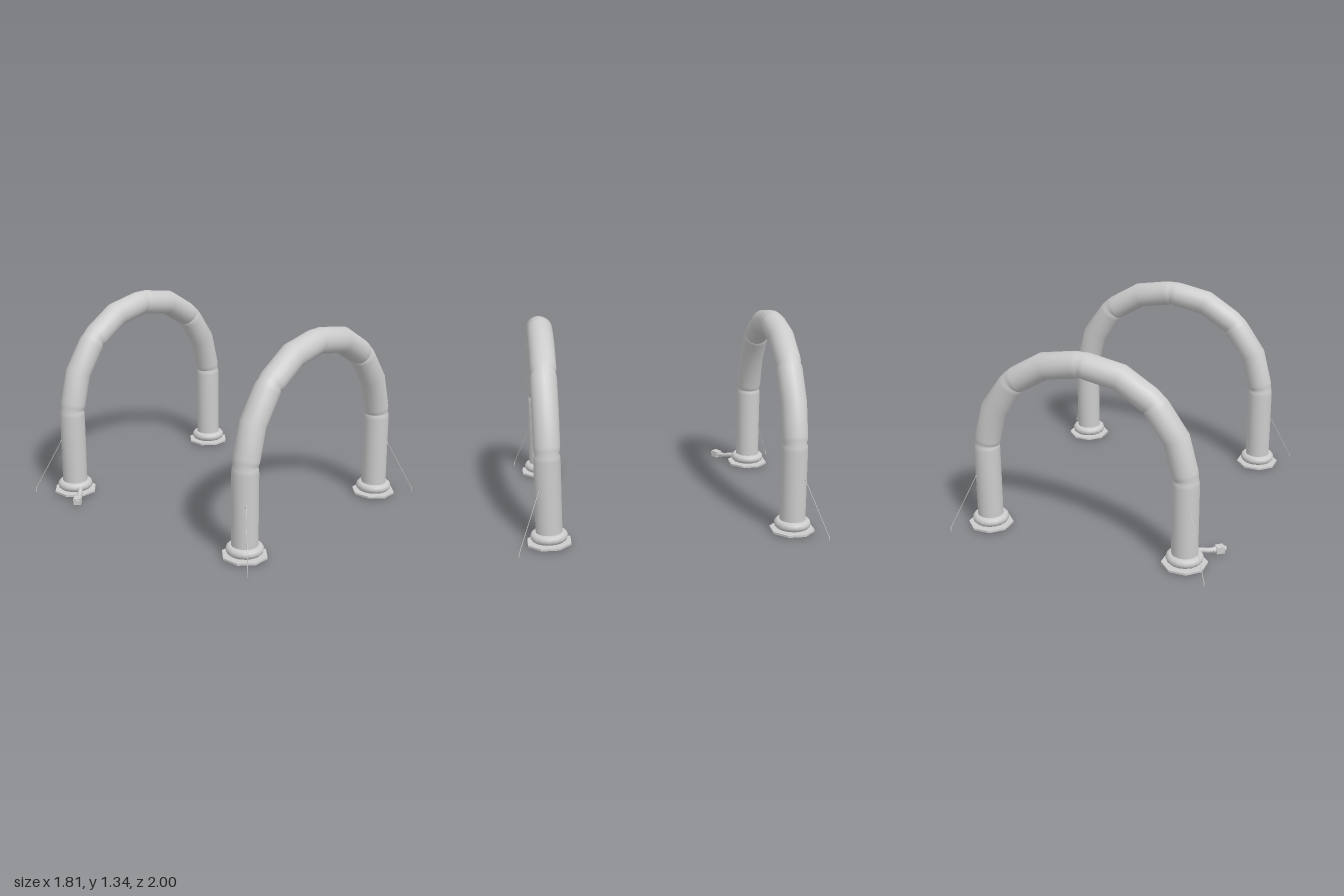
import * as THREE from 'three';

const mat = new THREE.MeshStandardMaterial({ color: 0xcccccc });
const V = (x, y, z = 0) => new THREE.Vector3(x, y, z);
const LEG_X = 0.698, ARCH_Z = 0.8, R = 0.086, SIDES = 20;

function part(name, geometry, parent, x = 0, y = 0, z = 0, material = mat) {
  const mesh = new THREE.Mesh(geometry, material);
  mesh.name = name;
  mesh.position.set(x, y, z);
  parent.add(mesh);
  return mesh;
}

// Straight cylinder between two points
function rod(name, a, b, radius, sides, parent) {
  const d = b.clone().sub(a);
  const mesh = part(name, new THREE.CylinderGeometry(radius, radius, d.length(), sides), parent);
  mesh.position.copy(a).add(b).multiplyScalar(0.5);
  mesh.quaternion.setFromUnitVectors(V(0, 1, 0), d.normalize());
  return mesh;
}

// Inflated tube: mitred rings along a bent path, pinched at the stitched seams
function archGeometry() {
  const half = [
    { p: V(LEG_X, 0.02) },
    { p: V(LEG_X, 0.612), seam: true },
    { p: V(0.63, 0.865) },
    { p: V(0.48, 1.077), seam: true },
    { p: V(0.257, 1.213) },
  ];
  const mirrored = half.map(k => ({ p: V(-k.p.x, k.p.y), seam: k.seam })).reverse();
  const knots = [...half, { p: V(0, 1.26), seam: true }, ...mirrored];

  const stations = [];
  knots.forEach((k, i) => {
    if (!k.seam) return stations.push({ p: k.p, r: R });
    const toward = (q, d) => k.p.clone().add(q.clone().sub(k.p).setLength(d));
    const before = knots[i - 1].p, after = knots[i + 1].p;
    stations.push(
      { p: toward(before, 0.04), r: R },
      { p: toward(before, 0.014), r: R - 0.003 },
      { p: k.p, r: R - 0.009 },
      { p: toward(after, 0.014), r: R - 0.003 },
      { p: toward(after, 0.04), r: R });
  });

  const pos = [], index = [];
  stations.forEach((s, i) => {
    const prev = stations[Math.max(i - 1, 0)].p, next = stations[Math.min(i + 1, stations.length - 1)].p;
    const tIn = (i ? s.p.clone().sub(prev) : next.clone().sub(s.p)).normalize();
    const tOut = (next === s.p ? tIn.clone() : next.clone().sub(s.p)).normalize();
    const t = tIn.clone().add(tOut).normalize();
    const n = V(-t.y, t.x), miter = 1 / t.dot(tIn);
    for (let j = 0; j < SIDES; j++) {
      const a = j / SIDES * Math.PI * 2, c = Math.cos(a) * s.r * miter;
      pos.push(s.p.x + n.x * c, s.p.y + n.y * c, Math.sin(a) * s.r);
      if (i < stations.length - 1) {
        const k = (j + 1) % SIDES, o = i * SIDES;
        index.push(o + j, o + k, o + SIDES + j, o + k, o + SIDES + k, o + SIDES + j);
      }
    }
  });
  const g = new THREE.BufferGeometry();
  g.setAttribute('position', new THREE.Float32BufferAttribute(pos, 3));
  g.setIndex(index);
  g.computeVertexNormals();
  return g;
}

export function createModel() {
  const model = new THREE.Group();
  model.name = 'inflatableArches';
  const flat = mat.clone();
  flat.flatShading = true;

  const arch = archGeometry();
  const plate = new THREE.CylinderGeometry(0.15, 0.15, 0.014, 8).rotateY(Math.PI / 8);
  const ring = new THREE.TorusGeometry(0.091, 0.031, 12, 16).rotateX(Math.PI / 2);

  for (const front of [1, -1]) {
    const group = new THREE.Group();
    group.name = front > 0 ? 'frontArch' : 'rearArch';
    model.add(group);
    part('archTube', arch, group, 0, 0, front * ARCH_Z);

    for (const side of [1, -1]) {
      // Foot: octagonal plate and inflated collar
      part('basePlate', plate, group, side * LEG_X, 0.016, front * ARCH_Z, flat);
      part('baseCollar', ring, group, side * LEG_X, 0.059, front * ARCH_Z);

      // Guy rope from the leg to a ground stake
      const tie = V(side * 0.759, 0.378, front * 0.861);
      const peg = V(side * 0.897, 0.024, front * 0.997);
      rod('guyRope', tie, peg, 0.0022, 6, group);
      part('ropeAnchor', new THREE.SphereGeometry(0.006, 8, 6), group, tie.x, tie.y, tie.z);
      part('groundStake', new THREE.CylinderGeometry(0.003, 0.003, 0.03, 6), group, peg.x, 0.015, peg.z);
    }
  }

  // Air blower and its hose on the rear right leg
  const blower = new THREE.Group();
  blower.name = 'airBlower';
  model.add(blower);
  const hose = new THREE.CatmullRomCurve3([
    V(-0.72, 0.06, -0.72), V(-0.76, 0.054, -0.677), V(-0.80, 0.04, -0.641), V(-0.85, 0.036, -0.6)]);
  part('blowerHose', new THREE.TubeGeometry(hose, 12, 0.017, 10), blower);
  const angle = Math.atan2(0.09, 0.12);
  const box = part('blowerHousing', new THREE.BoxGeometry(0.055, 0.046, 0.05), blower, -0.863, 0.036, -0.588);
  box.rotation.y = angle;
  const collar = rod('hoseCollar', V(-0.825, 0.037, -0.62), V(-0.84, 0.037, -0.607), 0.021, 12, blower);
  collar.castShadow = false;
  rod('airIntake', V(-0.88, 0.036, -0.575), V(-0.896, 0.036, -0.563), 0.018, 12, blower);

  return model;
}
